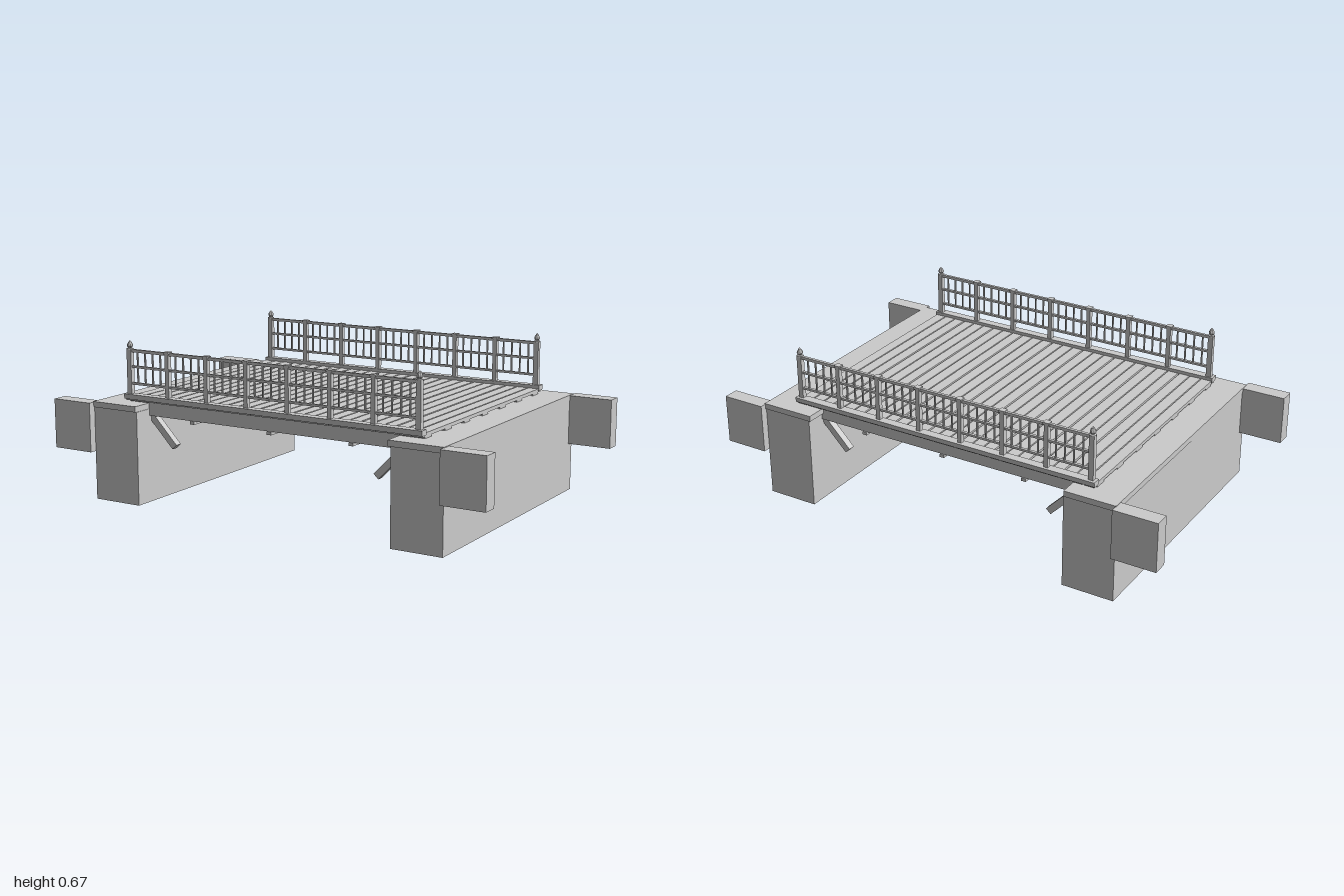
import * as THREE from 'three';

const material = new THREE.MeshStandardMaterial({ color: 0xcccccc, flatShading: true });

function add(parent, name, geometry, x = 0, y = 0, z = 0) {
  const mesh = new THREE.Mesh(geometry, material);
  mesh.name = name;
  mesh.position.set(x, y, z);
  parent.add(mesh);
  return mesh;
}

// Box given by its limits on each axis
function block(parent, name, [x0, x1], [y0, y1], [z0, z1]) {
  return add(parent, name, new THREE.BoxGeometry(x1 - x0, y1 - y0, z1 - z0),
    (x0 + x1) / 2, (y0 + y1) / 2, (z0 + z1) / 2);
}

function createAbutments() {
  const group = new THREE.Group();
  group.name = 'abutments';
  for (const s of [-1, 1]) {
    const span = (a, b) => (s > 0 ? [a, b] : [-b, -a]);
    block(group, 'pier', span(0.592, 0.813), [0, 0.392], [-0.59, 0.59]);
    block(group, 'pierCap', span(s > 0 ? 0.582 : 0.595, 0.815), [0.392, 0.416], [-0.595, 0.595]);
    // Wing walls stand out behind each pier
    block(group, 'wingWall', span(0.812, 1), [0.205, 0.413], [0.556, 0.622]);
    block(group, 'wingWall', span(0.812, 1), [0.205, 0.413], [-0.622, -0.556]);
  }
  return group;
}

function createUnderframe() {
  const group = new THREE.Group();
  group.name = 'underframe';
  // Seven girders along the span
  for (let i = -3; i <= 3; i++) {
    const z = i * 0.16;
    block(group, 'girder', [-0.69, 0.69], [0.364, 0.425], [z - 0.025, z + 0.025]);
  }
  // Cross ties under the girders
  for (const x of [-0.373, 0, 0.373]) {
    block(group, 'crossTie', [x - 0.01, x + 0.01], [0.351, 0.364], [-0.51, 0.51]);
  }
  // Diagonal struts at the outer girders
  for (const s of [-1, 1]) {
    for (const z of [-0.48, 0.48]) {
      const strut = add(group, 'strut', new THREE.BoxGeometry(0.17, 0.028, 0.03), s * 0.535, 0.303, z);
      strut.rotation.z = s * 0.8;
    }
  }
  return group;
}

function createDeck() {
  const group = new THREE.Group();
  group.name = 'deck';
  const pitch = 1.39 / 27;
  // Planks in threes, with a wider gap between the sets
  for (let i = 0; i < 27; i++) {
    const x = -0.695 + i * pitch;
    const left = i % 3 === 0 ? 0.004 : 0.0025;
    const right = i % 3 === 2 ? 0.004 : 0.0025;
    block(group, 'plank', [x + left, x + pitch - right], [0.424, 0.438], [-0.53, 0.53]);
  }
  return group;
}

function createRailing() {
  const group = new THREE.Group();
  group.name = 'railing';
  const z = 0.52, bay = 1.346 / 7;

  // Kerb with a slanted outer face
  const section = new THREE.Shape();
  section.moveTo(0.505, 0.43);
  section.lineTo(0.537, 0.43);
  section.lineTo(0.542, 0.452);
  section.lineTo(0.505, 0.452);
  const kerb = new THREE.ExtrudeGeometry(section, { depth: 1.39, bevelEnabled: false });
  kerb.translate(0, 0, -0.695);
  kerb.rotateY(-Math.PI / 2);
  add(group, 'kerb', kerb);

  // Rails
  for (const [y, h] of [[0.631, 0.012], [0.565, 0.009], [0.495, 0.009]]) {
    block(group, 'rail', [-0.673, 0.673], [y - h / 2, y + h / 2], [z - 0.006, z + 0.006]);
  }

  const finial = new THREE.LatheGeometry([
    [0, 0], [0.014, 0], [0.014, 0.005], [0.007, 0.007], [0.013, 0.015], [0.011, 0.023], [0.005, 0.033], [0, 0.038],
  ].map(([r, y]) => new THREE.Vector2(r, y)), 8);

  for (let i = 0; i < 8; i++) {
    const x = -0.673 + i * bay;
    const end = i === 0 || i === 7;
    const half = end ? 0.011 : 0.009;
    block(group, end ? 'endPost' : 'post', [x - half, x + half], [0.45, 0.638], [z - 0.01, z + 0.01]);
    if (end) add(group, 'finial', finial, x, 0.635, z);
    else block(group, 'postCap', [x - 0.013, x + 0.013], [0.632, 0.641], [z - 0.013, z + 0.013]);
    if (i === 7) break;
    // Thin balusters between the posts
    for (let k = 1; k <= 4; k++) {
      const bx = x + bay * k / 5;
      block(group, 'baluster', [bx - 0.003, bx + 0.003], [0.495, 0.628], [z - 0.003, z + 0.003]);
    }
  }
  return group;
}

export function createModel() {
  const model = new THREE.Group();
  model.name = 'bridge';
  model.add(createAbutments(), createUnderframe(), createDeck());
  const front = createRailing();
  const back = createRailing();
  back.rotation.y = Math.PI;
  model.add(front, back);
  return model;
}
